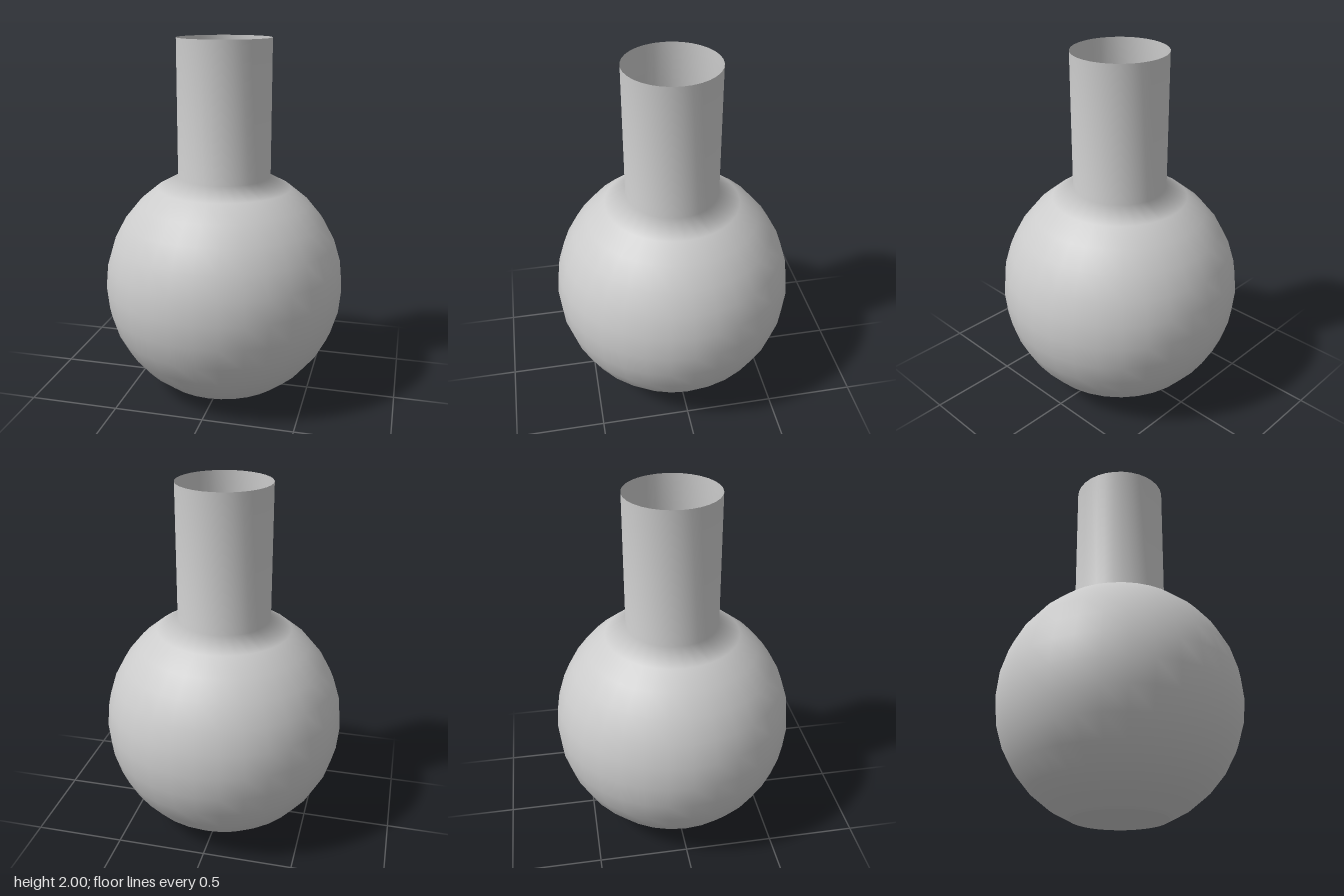
import * as THREE from 'three';

const SIDES = 32;
const RADIUS = 0.675;
const STEP = Math.PI / 16;          // angle between the rings of the bulb
const CENTRE = RADIUS * Math.cos(2 * STEP);
const NECK = RADIUS * Math.sin(2 * STEP);

export function createModel() {
  const group = new THREE.Group();
  group.name = 'flask';
  const material = new THREE.MeshStandardMaterial({ color: 0xcccccc, side: THREE.DoubleSide });

  // Thin shell: truncated round bulb flowing into a straight open neck
  const profile = [];
  for (let ring = 14; ring >= 2; ring--) {
    const a = ring * STEP;
    profile.push(new THREE.Vector2(RADIUS * Math.sin(a), CENTRE + RADIUS * Math.cos(a)));
  }
  profile.push(new THREE.Vector2(NECK, 2));
  const shell = new THREE.Mesh(new THREE.LatheGeometry(profile, SIDES), material);
  shell.name = 'bulbAndNeck';
  group.add(shell);

  // Flat base closing the underside
  const base = new THREE.Mesh(new THREE.CircleGeometry(NECK, SIDES).rotateX(Math.PI / 2), material);
  base.name = 'base';
  group.add(base);

  return group;
}
